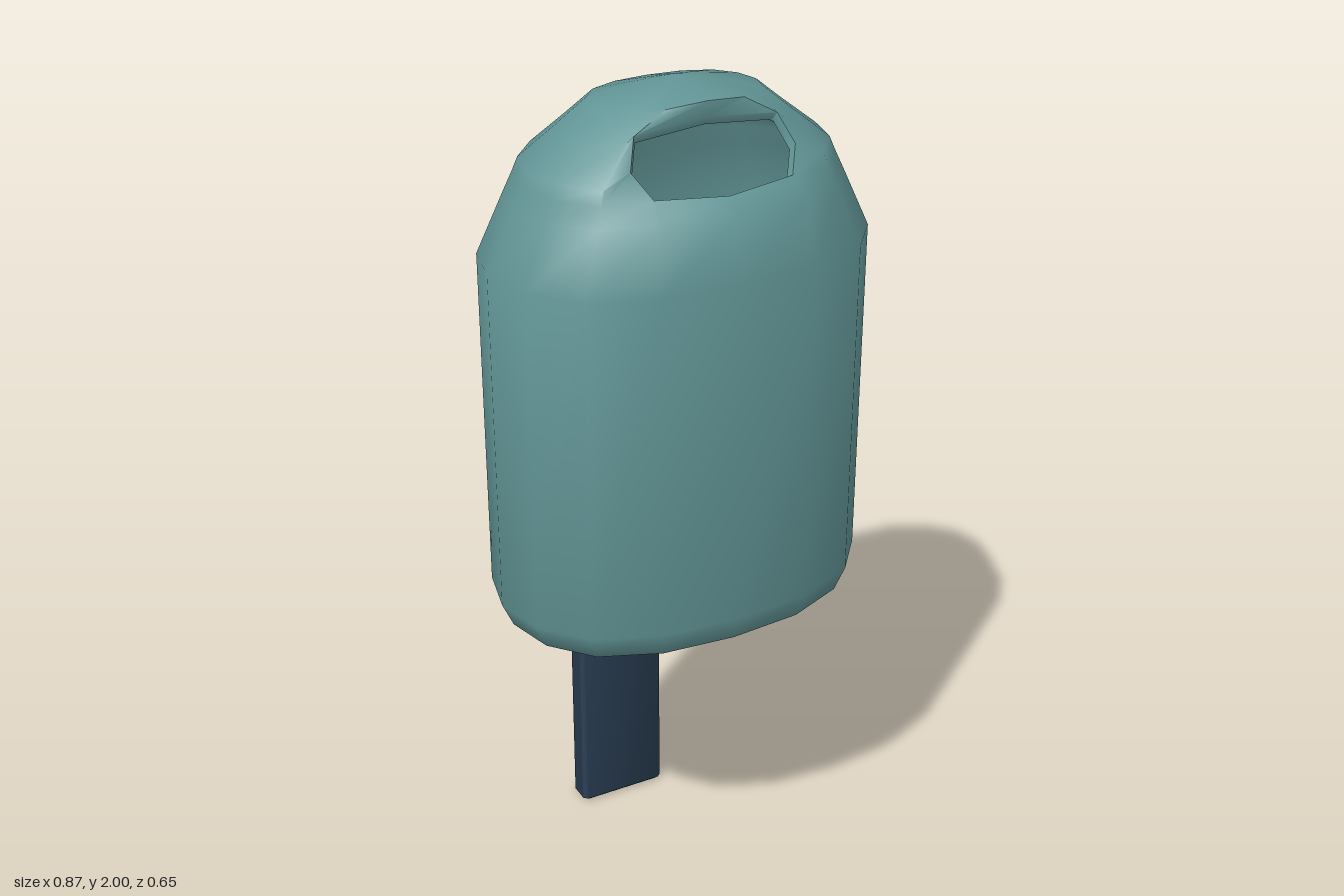
import * as THREE from 'three';
import { toCreasedNormals } from 'three/addons/utils/BufferGeometryUtils.js';

// Collects triangles and quads, dropping collapsed ones
function surface() {
  const pos = [];
  const same = (a, b) => a.every((v, k) => Math.abs(v - b[k]) < 1e-6);
  const tri = (a, b, c) => {
    if (!same(a, b) && !same(b, c) && !same(a, c)) pos.push(...a, ...b, ...c);
  };
  const quad = (a, b, c, d) => { tri(a, b, c); tri(a, c, d); };
  // Skin a stack of closed rings, facing outward (or inward when flipped)
  const loft = (rings, flip = false, skip = () => false) => {
    for (let i = 0; i < rings.length - 1; i++) {
      const n = rings[i].length;
      for (let j = 0; j < n; j++) {
        if (skip(i, j)) continue;
        const k = (j + 1) % n;
        const q = [rings[i][j], rings[i][k], rings[i + 1][k], rings[i + 1][j]];
        quad(...(flip ? q.reverse() : q));
      }
    }
  };
  const build = (crease) => {
    const g = new THREE.BufferGeometry();
    g.setAttribute('position', new THREE.Float32BufferAttribute(pos, 3));
    return toCreasedNormals(g, crease);
  };
  return { quad, loft, build };
}

const CZ = 0.024; // depth of the body's axis

// Sixteen-sided oval, starting at the front and running towards +x
function oval() {
  const quarter = [[0, 0.297], [0.18, 0.281], [0.325, 0.222], [0.408, 0.122], [0.437, 0]];
  const pts = [];
  for (let j = 0; j < 16; j++) {
    const m = j % 8, s = m <= 4 ? m : 8 - m;
    const [x, z] = quarter[s];
    pts.push([j <= 8 ? x : -x, (j <= 4 || j >= 12) ? z : -z]);
  }
  return pts;
}

// Domed hollow shell with an eight-sided opening in the upper front
function bodyGeometry() {
  const profile = [ // [height, scale of the oval]
    [0.77, 0], [0.77, 0.82], [0.792, 0.94], [0.85, 1], [1.64, 1], [1.77, 0.86],
    [1.815, 0.81], [1.845, 0.78], [1.91, 0.586], [1.962, 0.437], [2, 0],
  ];
  const base = oval();
  const outer = profile.map(([y, s]) => base.map(([x, z]) => [x * s, y, CZ + z * s]));

  // Pull the three front columns to the collar and the edge of the opening
  const front = { // row: [centre y, centre z, side x, side y, side z]
    5: [1.785, 0.293, 0.17, 1.785, 0.272],
    6: [1.81, 0.255, 0.16, 1.82, 0.232],
    7: [1.87, 0.19, 0.19, 1.87, 0.19],
    8: [1.945, 0.156, 0.165, 1.93, 0.156],
    9: [1.98, 0.16, 0.09, 1.972, 0.15],
  };
  for (const [row, [cy, cz, x, y, z]] of Object.entries(front)) {
    outer[row][0] = [0, cy, cz];
    outer[row][1] = [x, y, z];
    outer[row][15] = [-x, y, z];
  }
  const inner = outer.map((ring) => ring.map(([x, y, z]) =>
    [x * 0.96, 1.38 + (y - 1.38) * 0.97, CZ + (z - CZ) * 0.94]));

  const s = surface();
  const hole = (i, j) => (i === 6 || i === 7) && (j === 15 || j === 0);
  s.loft(outer, false, hole);
  s.loft(inner, true, hole);

  // Thickness of the opening's edge
  const loop = [[6, 15], [6, 0], [6, 1], [7, 1], [8, 1], [8, 0], [8, 15], [7, 15]];
  loop.forEach(([i, j], k) => {
    const [p, q] = loop[(k + 1) % loop.length];
    s.quad(outer[i][j], outer[p][q], inner[p][q], inner[i][j]);
  });
  return s.build(0.95);
}

// Upright bar with bevelled corners from a list of [height, inset] levels
function barGeometry(levels) {
  const bevel = 0.009;
  const rings = levels.map(([y, inset]) => {
    const w = 0.112 - inset, d = 0.0325 - inset, b = bevel;
    return [[-w + b, d], [w - b, d], [w, d - b], [w, -d + b],
      [w - b, -d], [-w + b, -d], [-w, -d + b], [-w, d - b]]
      .map(([x, z]) => [x, y, z - 0.2925]);
  });
  // Close both ends
  for (const [end, add] of [[rings[0], 'unshift'], [rings[rings.length - 1], 'push']]) {
    rings[add](end.map((p) => [0, p[1], -0.2925]));
  }
  const s = surface();
  s.loft(rings);
  return s.build(0.9);
}

export function createModel() {
  const teal = new THREE.MeshStandardMaterial({ color: 0x629596 });
  teal.name = 'teal';
  const navy = new THREE.MeshStandardMaterial({ color: 0x2b4056 });
  navy.name = 'navy';

  const model = new THREE.Group();
  model.name = 'litterBin';
  const add = (name, geometry, material) => {
    const mesh = new THREE.Mesh(geometry, material);
    mesh.name = name;
    model.add(mesh);
  };
  add('binBody', bodyGeometry(), teal);
  add('post', barGeometry([[0, 0.008], [0.008, 0], [1.64, 0]]), navy);
  add('postCap', barGeometry([[1.64, 0], [1.682, 0], [1.69, 0.008]]), teal);
  return model;
}
